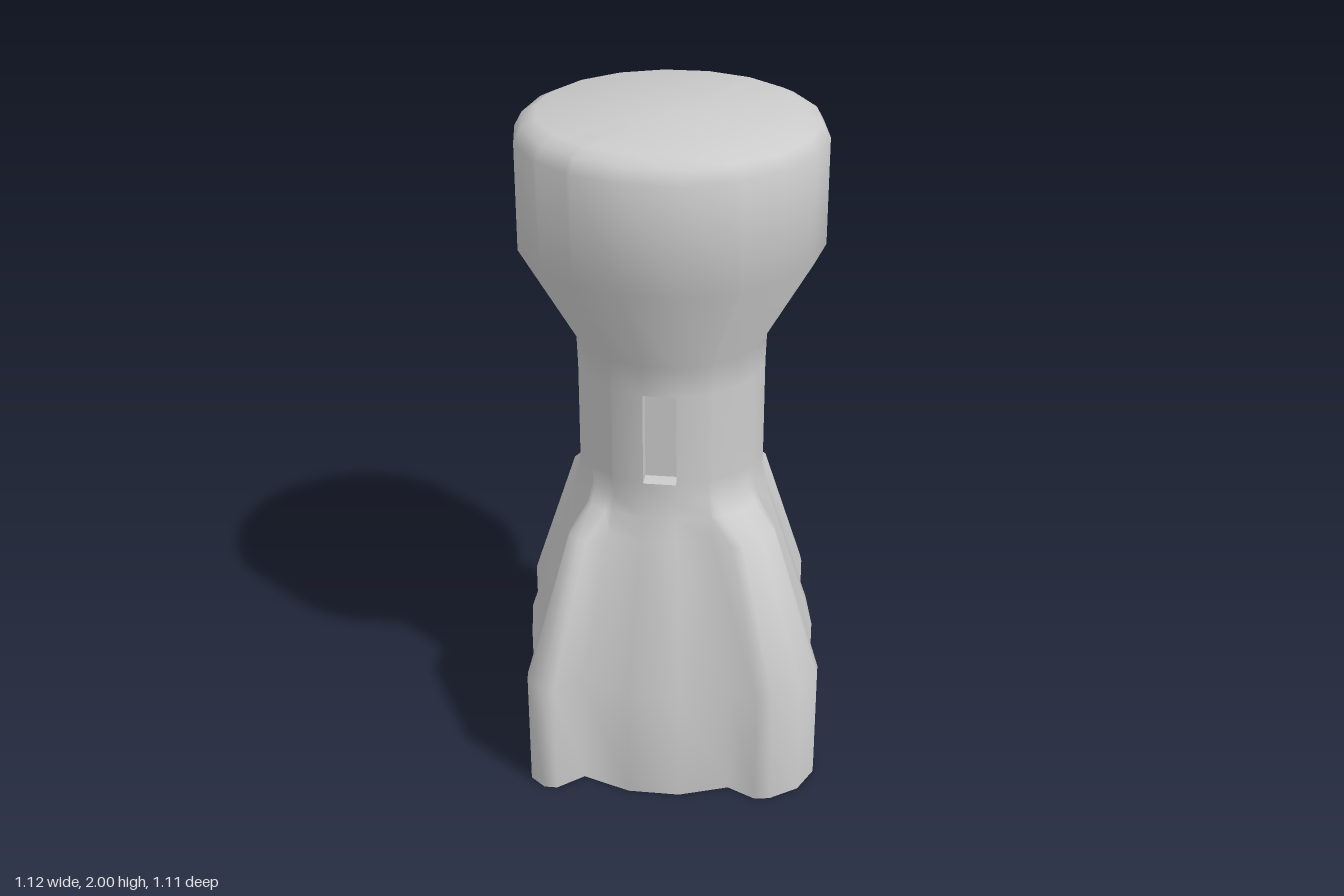
import * as THREE from 'three';
import { toCreasedNormals } from 'three/addons/utils/BufferGeometryUtils.js';

const DEG = Math.PI / 180;
const FOOT = 0.44; // body radius at the foot
const POCKET = 0.05; // depth of the neck windows

// One column of the body: unit direction (x, z) plus the fin's outward offset (fx, fz)
const onCircle = (deg) => ({ x: Math.cos(deg * DEG), z: Math.sin(deg * DEG), fx: 0, fz: 0 });

// Fin corner on a side fin: lies on the 0-20 degree facet, pushed out along x
function sideFin(x, z) {
  const uz = z / FOOT;
  const ux = 1 - (1 - Math.cos(20 * DEG)) * (uz / Math.sin(20 * DEG));
  return { x: ux, z: uz, fx: x - ux * FOOT, fz: 0 };
}

// Fin corner on a front or back fin: lies on the 80-100 degree facet, pushed out along z
function endFin(x, z) {
  const uz = Math.sin(80 * DEG);
  return { x: x / FOOT, z: uz, fx: 0, fz: z - uz * FOOT };
}

// Columns of one quarter, mirrored twice to close the loop
function makeColumns() {
  const quarter = [
    sideFin(0.56, 0), sideFin(0.535, 0.095), sideFin(0.505, 0.13),
    onCircle(20), onCircle(40), onCircle(60), onCircle(80),
    endFin(0.06, 0.53), endFin(0.03, 0.555),
  ];
  const flip = (c, sx, sz) => ({ x: c.x * sx, z: c.z * sz, fx: c.fx * sx, fz: c.fz * sz });
  const half = [...quarter, ...quarter.slice().reverse().map((c) => flip(c, -1, 1))];
  return [...half, ...half.slice(1, -1).reverse().map((c) => flip(c, 1, -1))];
}

// Rings from bottom to top: height, body radius, fin strength
const parts = {
  finnedSkirt: [[0, 0.44, 1], [0.36, 0.44, 1], [0.8, 0.3, 0.75], [0.87, 0.285, 0.16], [0.92, 0.275, 0]],
  windowedNeck: [[0.92, 0.275, 0], [0.98, 0.275, 0], [1.26, 0.275, 0], [1.35, 0.278, 0]],
  roundedHead: [[1.35, 0.278, 0], [1.63, 0.437, 0], [1.94, 0.437, 0], [1.98, 0.415, 0], [2, 0.375, 0]],
};

export function createModel() {
  const group = new THREE.Group();
  const columns = makeColumns();
  const n = columns.length;
  const pos = [];
  const tri = (...pts) => pts.forEach((p) => pos.push(p.x, p.y, p.z));
  const quad = (a, b, c, d) => { tri(a, b, c); tri(a, c, d); };
  const point = (c, [y, r, fin]) => new THREE.Vector3(c.x * r + c.fx * fin, y, c.z * r + c.fz * fin);
  const diagonal = (c) => Math.abs(c.x) > 0.45 && Math.abs(c.x) < 0.8;

  // Sunken window: four walls and a floor
  function pocket(corners) {
    const inward = new THREE.Vector3();
    corners.forEach((p) => inward.add(p));
    inward.setY(0).setLength(-POCKET);
    const floor = corners.map((p) => p.clone().add(inward));
    for (let e = 0; e < 4; e++) {
      const f = (e + 1) % 4;
      quad(corners[e], corners[f], floor[f], floor[e]);
    }
    quad(...floor);
  }

  const ranges = [];
  for (const [name, rings] of Object.entries(parts)) {
    const start = pos.length;
    for (let j = 0; j < rings.length - 1; j++) {
      for (let i = 0; i < n; i++) {
        const c0 = columns[i], c1 = columns[(i + 1) % n];
        const corners = [point(c0, rings[j]), point(c0, rings[j + 1]), point(c1, rings[j + 1]), point(c1, rings[j])];
        const isWindow = name === 'windowedNeck' && j === 1 && diagonal(c0) && diagonal(c1);
        if (isWindow) pocket(corners);
        else quad(...corners);
      }
    }
    // Flat top of the head
    if (name === 'roundedHead') {
      const rim = rings[rings.length - 1];
      const centre = new THREE.Vector3(0, rim[0], 0);
      for (let i = 0; i < n; i++) tri(point(columns[i], rim), centre, point(columns[(i + 1) % n], rim));
    }
    ranges.push([name, start, pos.length]);
  }

  // Smooth the whole surface at once so the parts meet without seams, then split it
  let whole = new THREE.BufferGeometry();
  whole.setAttribute('position', new THREE.Float32BufferAttribute(pos, 3));
  whole = toCreasedNormals(whole, 1.2);
  const material = new THREE.MeshStandardMaterial({ color: 0xcccccc, side: THREE.DoubleSide });
  for (const [name, start, end] of ranges) {
    const geometry = new THREE.BufferGeometry();
    for (const key of ['position', 'normal']) {
      geometry.setAttribute(key, new THREE.BufferAttribute(whole.attributes[key].array.slice(start, end), 3));
    }
    const mesh = new THREE.Mesh(geometry, material);
    mesh.name = name;
    group.add(mesh);
  }
  return group;
}
